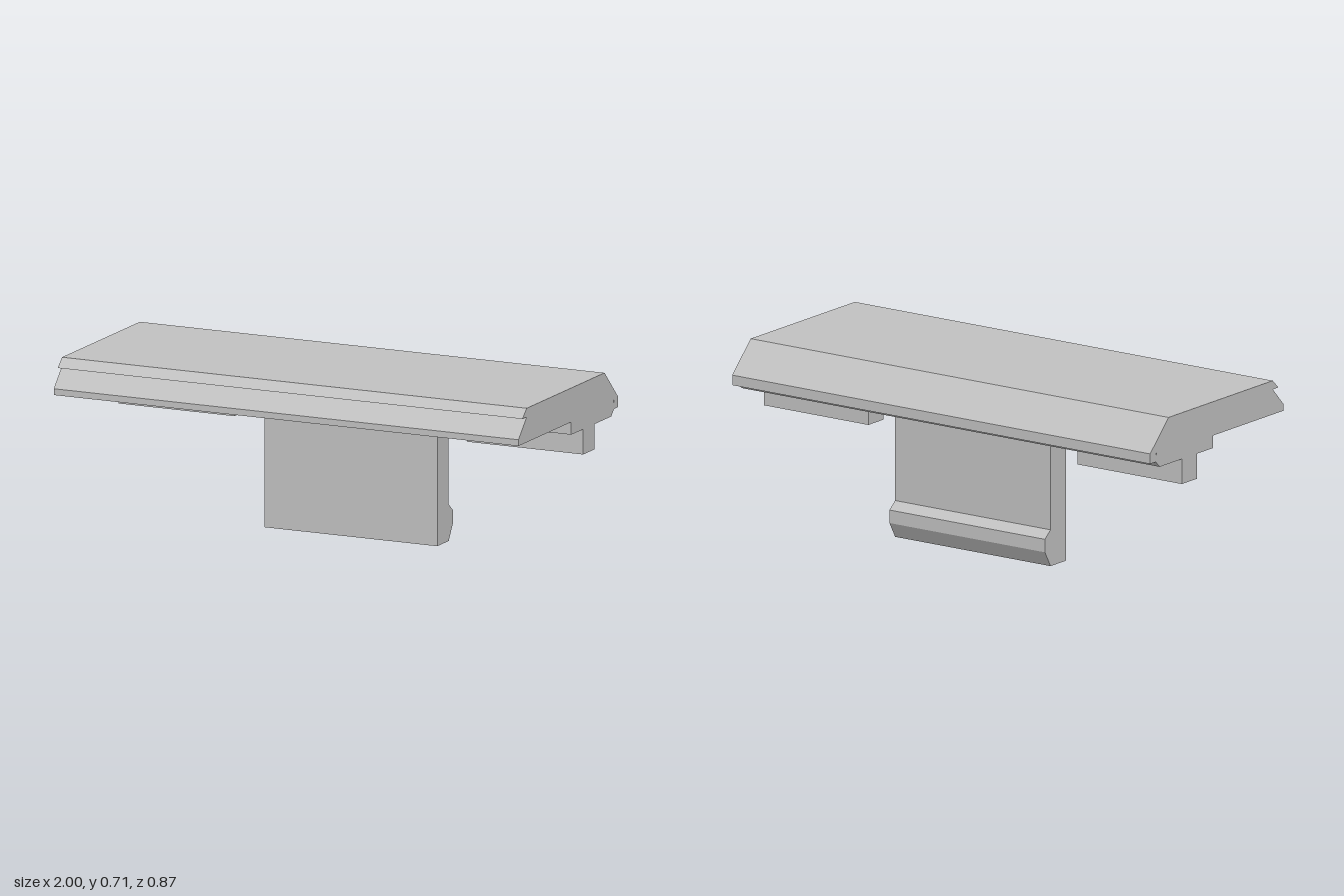
import * as THREE from 'three';

const material = new THREE.MeshStandardMaterial({ color: 0xc0c0c0 });
material.name = 'light grey';

// Extrude a [z, y] profile along x, from x0 to x1
function extrudeAlongX(name, profile, x0, x1, hole) {
  const toPoints = (list) => list.map(([z, y]) => new THREE.Vector2(-z, y));
  const shape = new THREE.Shape(toPoints(profile));
  if (hole) shape.holes.push(new THREE.Path(toPoints(hole)));
  const geometry = new THREE.ExtrudeGeometry(shape, { depth: x1 - x0, bevelEnabled: false });
  geometry.rotateY(Math.PI / 2);
  geometry.translate(x0, 0, 0);
  const mesh = new THREE.Mesh(geometry, material);
  mesh.name = name;
  return mesh;
}

export function createModel() {
  const model = new THREE.Group();
  model.name = 'clipOnCover';

  // Long cover plate with bevelled back, grooved front lip and a thin bore
  const plate = [
    [0.365, 0.712], [-0.317, 0.712], [-0.437, 0.592], [-0.437, 0.552],
    [-0.4, 0.552], [-0.375, 0.527], [-0.025, 0.527], [-0.025, 0.577],
    [0.437, 0.577], [0.437, 0.602], [0.365, 0.677], [0.402, 0.677],
  ];
  const bore = [[-0.4, 0.591], [-0.394, 0.583], [-0.4, 0.576]];
  model.add(extrudeAlongX('coverPlate', plate, -1, 1, bore));

  // Central tongue with a catch on its back
  const tongue = [
    [-0.13, 0.527], [-0.13, 0], [-0.23, 0], [-0.267, 0.063],
    [-0.267, 0.115], [-0.23, 0.145], [-0.23, 0.527],
  ];
  model.add(extrudeAlongX('clipTongue', tongue, -0.372, 0.372));

  // Short ribs at both ends
  const rib = [[-0.13, 0.527], [-0.13, 0.427], [-0.23, 0.427], [-0.23, 0.527]];
  model.add(extrudeAlongX('leftRib', rib, 0.5, 1));
  model.add(extrudeAlongX('rightRib', rib, -1, -0.5));

  return model;
}
